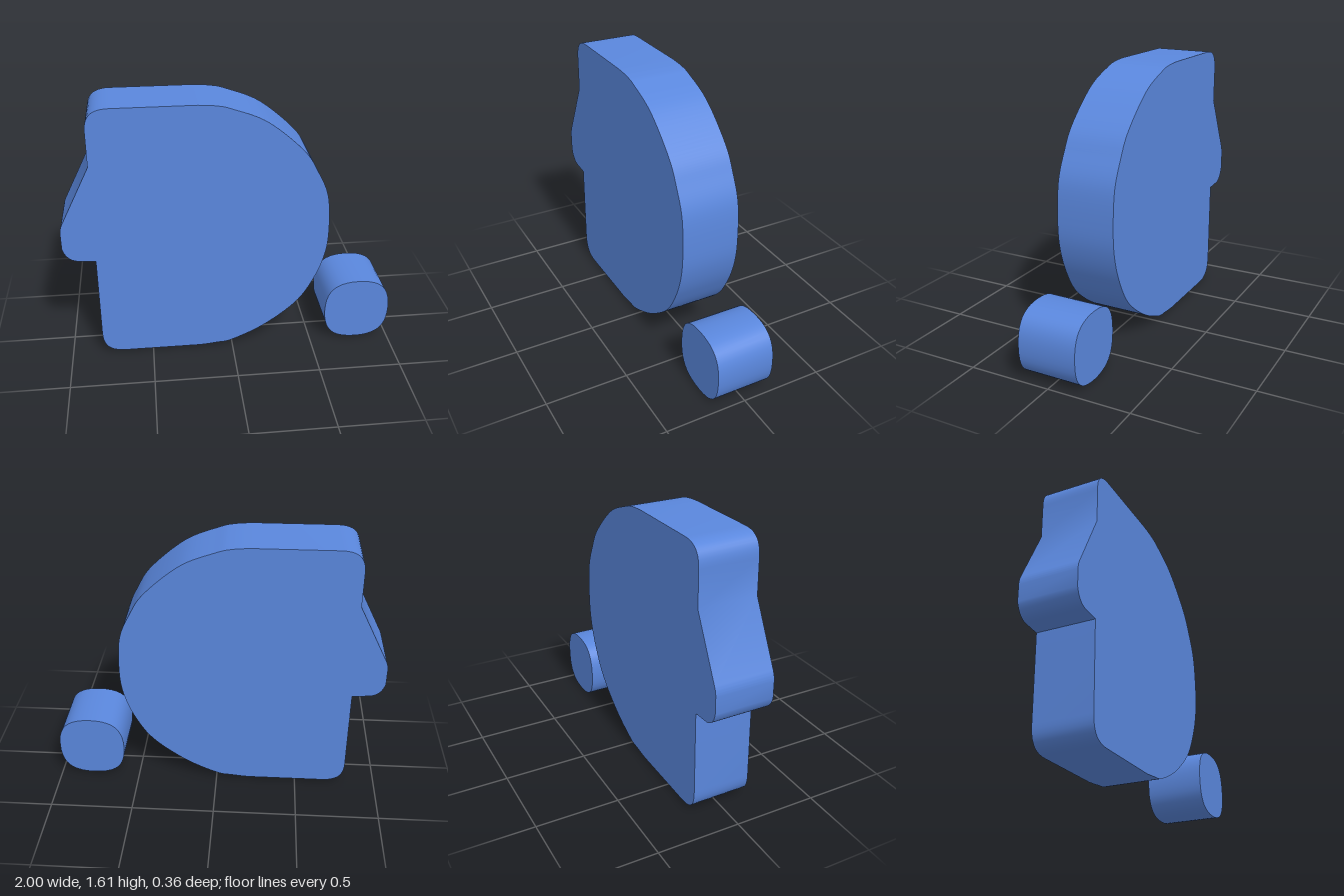
import * as THREE from 'three';
import { toCreasedNormals } from 'three/addons/utils/BufferGeometryUtils.js';

const DEPTH = 0.355;
const vectors = (points) => points.map(([x, y]) => new THREE.Vector2(x, y));

// Extrude an outline along z, with smooth rounded sides and sharp rims
function slab(name, shape, material) {
  const geometry = new THREE.ExtrudeGeometry(shape, { depth: DEPTH, bevelEnabled: false, curveSegments: 10 });
  geometry.translate(0, 0, -DEPTH / 2);
  const mesh = new THREE.Mesh(toCreasedNormals(geometry, 0.5), material);
  mesh.name = name;
  return mesh;
}

// Head profile with its nose towards -x
function headShape() {
  const s = new THREE.Shape();
  s.moveTo(-0.81, 0.665);
  s.lineTo(-0.81, 0.15);
  s.bezierCurveTo(-0.81, 0.05, -0.77, 0.01, -0.67, 0.01); // chin
  s.lineTo(-0.2, 0.01);
  s.splineThru(vectors([ // back of the head
    [-0.1, 0.02], [0, 0.037], [0.2, 0.135], [0.4, 0.295], [0.51, 0.47], [0.568, 0.64],
    [0.582, 0.81], [0.565, 1.02], [0.5, 1.175], [0.41, 1.315], [0.2, 1.495], [0, 1.58],
    [-0.09, 1.602], [-0.19, 1.61],
  ]));
  s.lineTo(-0.67, 1.61);
  s.bezierCurveTo(-0.77, 1.61, -0.81, 1.57, -0.81, 1.48); // forehead
  s.lineTo(-0.81, 1.27);
  s.lineTo(-0.985, 0.92); // bridge of the nose
  s.quadraticCurveTo(-1, 0.89, -1, 0.86);
  s.lineTo(-1, 0.76);
  s.bezierCurveTo(-0.985, 0.7, -0.95, 0.675, -0.91, 0.672); // nose tip
  s.closePath();
  return s;
}

// Rounded, slightly bulging square
function dotShape() {
  const cx = 0.794, cy = 0.207, r = 0.205, c = 0.145;
  const s = new THREE.Shape();
  s.moveTo(cx + r, cy);
  s.bezierCurveTo(cx + r, cy + c, cx + c, cy + r, cx, cy + r);
  s.bezierCurveTo(cx - c, cy + r, cx - r, cy + c, cx - r, cy);
  s.bezierCurveTo(cx - r, cy - c, cx - c, cy - r, cx, cy - r);
  s.bezierCurveTo(cx + c, cy - r, cx + r, cy - c, cx + r, cy);
  return s;
}

export function createModel() {
  const group = new THREE.Group();
  group.name = 'headAndDot';
  const material = new THREE.MeshStandardMaterial({ color: 0x5a87dd });
  const parts = new THREE.Group();
  parts.name = 'leaningParts';
  parts.add(slab('head', headShape(), material), slab('dot', dotShape(), material));
  // The slabs lean back very slightly
  parts.rotation.x = -0.006;
  parts.position.z = 0.005;
  group.add(parts);
  return group;
}
